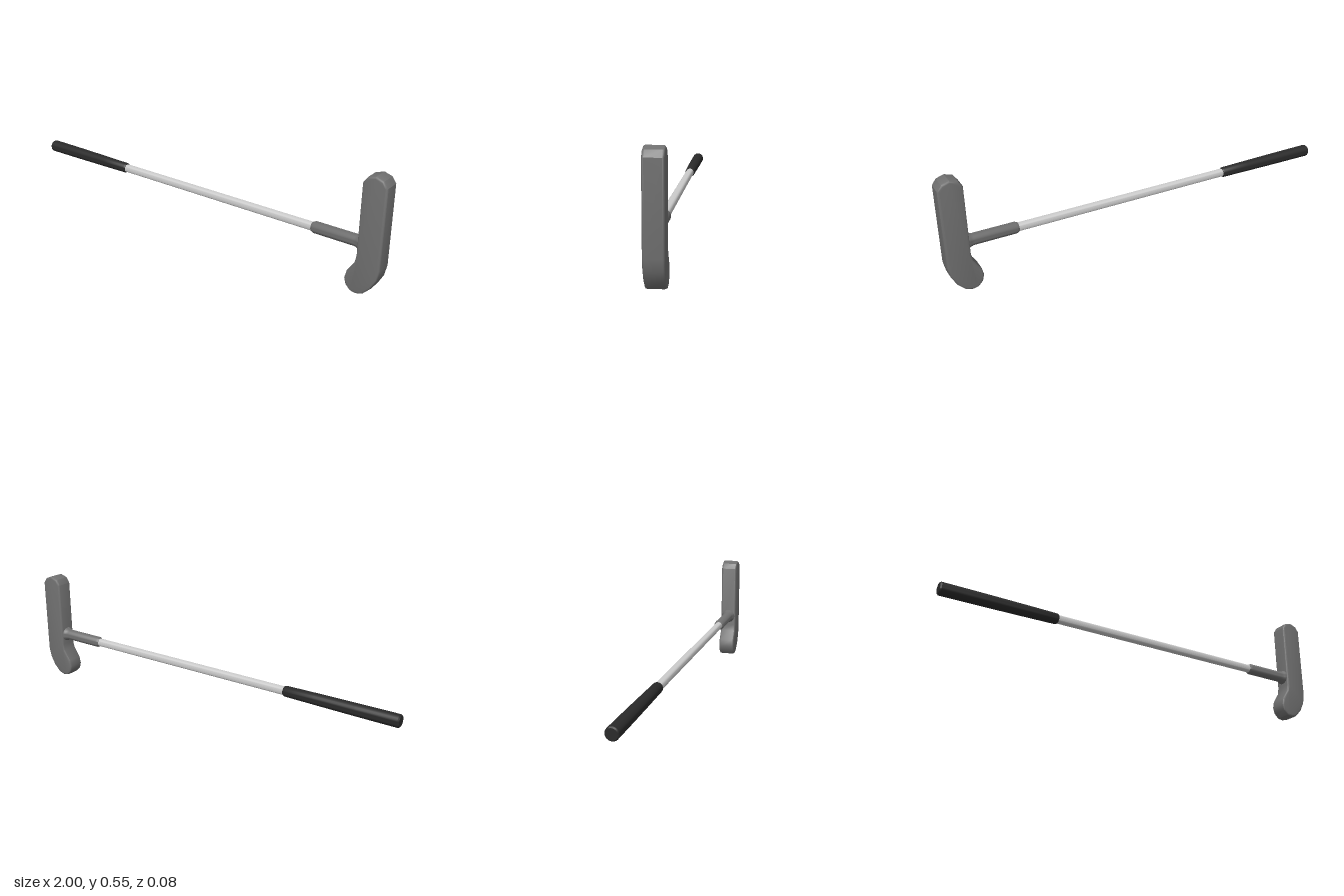
import * as THREE from 'three';
import { toCreasedNormals } from 'three/addons/utils/BufferGeometryUtils.js';

const AXIS_Y = 0.23; // height of the shaft line

export function createModel() {
  const model = new THREE.Group();
  const add = (name, geometry, color) => {
    const mesh = new THREE.Mesh(
      toCreasedNormals(geometry, 0.6),
      new THREE.MeshStandardMaterial({ color })
    );
    mesh.name = name;
    model.add(mesh);
    return mesh;
  };

  // Round part along x from a profile of [x, radius] pairs
  const addTurned = (name, profile, color) => {
    const points = profile.map(([x, r]) => new THREE.Vector2(r, x));
    const mesh = add(name, new THREE.LatheGeometry(points, 24), color);
    mesh.rotation.z = -Math.PI / 2;
    mesh.position.y = AXIS_Y;
  };

  // Grip, tapering toward the shaft
  addTurned('grip', [
    [-1, 0], [-1, 0.025], [-0.994, 0.03], [-0.8, 0.029],
    [-0.6, 0.027], [-0.455, 0.025], [-0.448, 0.022], [-0.448, 0],
  ], 0x2a2a2a);

  // Slim straight shaft
  addTurned('shaft', [[-0.5, 0], [-0.5, 0.02], [0.7, 0.02], [0.7, 0]], 0xcccccc);

  // Socket joining shaft and head, flared at the head
  addTurned('socket', [
    [0.655, 0], [0.655, 0.021], [0.667, 0.027], [0.865, 0.027],
    [0.88, 0.031], [0.893, 0.038], [0.92, 0.038], [0.92, 0],
  ], 0x707070);

  // Head: flat bar with a bent toe, rounded edges
  const outline = [
    [0.89, 0.51], [0.89, 0.18], [0.883, 0.145], [0.85, 0.095], [0.842, 0.06],
    [0.85, 0.03], [0.872, 0.007], [0.9, 0.002], [0.93, 0.01], [0.965, 0.045],
    [0.99, 0.092], [1, 0.14], [1, 0.51], [0.981, 0.537], [0.945, 0.549], [0.908, 0.537],
  ].map(([x, y]) => new THREE.Vector2(x, y));
  const bevel = 0.009;
  const head = new THREE.ExtrudeGeometry(new THREE.Shape(outline), {
    depth: 0.084 - 2 * bevel,
    bevelSize: bevel,
    bevelThickness: bevel,
    bevelOffset: -bevel,
    bevelSegments: 3,
  });
  head.translate(0, 0, bevel - 0.042);
  add('head', head, 0x707070);

  return model;
}
